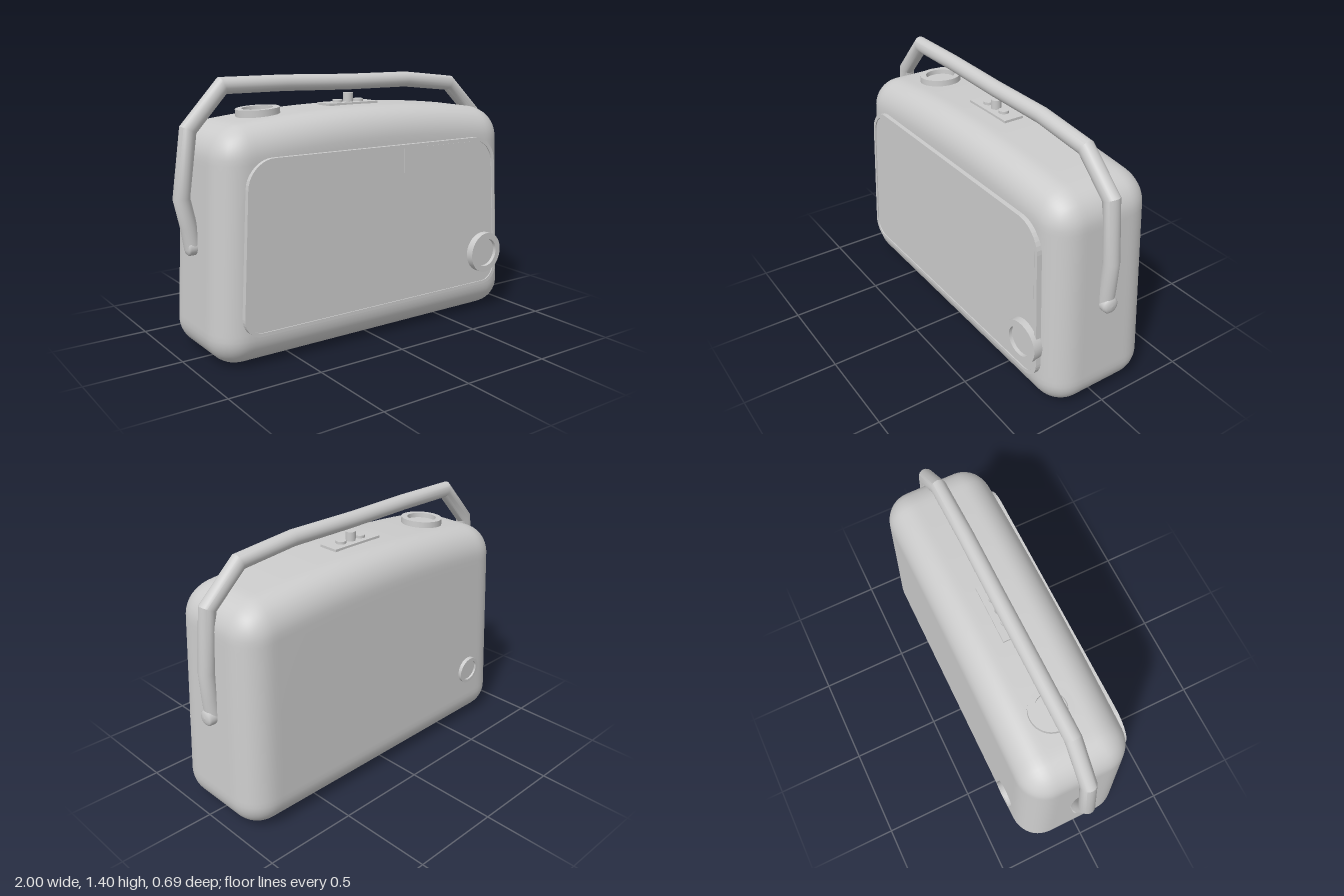
import * as THREE from 'three';
import { mergeVertices, toCreasedNormals } from 'three/addons/utils/BufferGeometryUtils.js';

const material = new THREE.MeshStandardMaterial({ color: 0xcccccc });
const CX = 0.022, CZ = -0.02; // middle of the case

function add(parent, name, geometry, x = 0, y = 0, z = 0) {
  const mesh = new THREE.Mesh(geometry, material);
  mesh.name = name;
  mesh.position.set(x, y, z);
  parent.add(mesh);
  return mesh;
}

// Height of the arched roof at x
function roof(x) {
  return 1.18 + 0.05 * Math.max(0, 1 - ((x - CX) / 0.8) ** 2);
}

// Rounded box that tapers upwards and has an arched top
function caseGeometry() {
  const w = 1.9, h = 1.18, d = 0.616, r = 0.16;
  let g = new THREE.BoxGeometry(w, h, d, 60, 40, 24);
  g.deleteAttribute('uv');
  g.deleteAttribute('normal');
  g = mergeVertices(g);
  const pos = g.attributes.position;
  const p = new THREE.Vector3(), q = new THREE.Vector3();
  const inner = new THREE.Vector3(w / 2 - r, h / 2 - r, d / 2 - r);
  const innerMin = inner.clone().negate();
  for (let i = 0; i < pos.count; i++) {
    p.fromBufferAttribute(pos, i);
    q.copy(p).clamp(innerMin, inner);
    p.sub(q).setLength(r).add(q);
    const y = p.y + h / 2;
    const x = p.x * (1.004 - 0.052 * y);
    const z = p.z * (1.01 - 0.07 * y) + CZ + 0.005 * y;
    const lift = THREE.MathUtils.smoothstep(y, 0.4, h);
    pos.setXYZ(i, x + CX, y + (roof(x + CX) - h) * lift, z);
  }
  g.computeVertexNormals();
  return g;
}

// Polygon with its corners cut back and rounded
function roundedPoly(corners, cuts, Type = THREE.Shape) {
  const shape = new Type();
  const pts = corners.map(([x, y]) => new THREE.Vector2(x, y));
  pts.forEach((p, i) => {
    const n = pts.length;
    const toward = (other) => p.clone().add(other.clone().sub(p).setLength(cuts[i]));
    const a = toward(pts[(i + n - 1) % n]), b = toward(pts[(i + 1) % n]);
    if (i === 0) shape.moveTo(a.x, a.y);
    else shape.lineTo(a.x, a.y);
    if (cuts[i] > 0.01) shape.bezierCurveTo(
      a.x + (p.x - a.x) * 0.55, a.y + (p.y - a.y) * 0.55,
      b.x + (p.x - b.x) * 0.55, b.y + (p.y - b.y) * 0.55, b.x, b.y);
    else shape.lineTo(b.x, b.y);
  });
  shape.closePath();
  return shape;
}

// Front panel outline, inset by d
function panelOutline(d, Type) {
  return roundedPoly(
    [[-0.81 + d, 0.168 + d], [0.85 - d, 0.168 + d], [0.805 - d, 1.03 - d], [-0.757 + d, 1.035 - d]],
    [0.1, 0.1, 0.14, 0.14].map((c) => c - d * 0.6), Type);
}

function extrude(shape, depth) {
  return new THREE.ExtrudeGeometry(shape, { depth, bevelEnabled: false, curveSegments: 10 });
}

// Dial with a raised rim and sunken face, axis along y
function dialGeometry(outer, inner, height, sink) {
  const profile = [[outer, 0], [outer, height], [inner, height], [inner, height - sink], [0, height - sink]];
  return toCreasedNormals(new THREE.LatheGeometry(profile.map(([x, y]) => new THREE.Vector2(x, y)), 40), 0.6);
}

// Round bar swept along a bent path in the xy plane, with mitred bends
function barGeometry(path, radius, sides) {
  const pts = path.map(([x, y]) => new THREE.Vector2(x, y));
  const verts = [], index = [];
  pts.forEach((p, i) => {
    const before = p.clone().sub(pts[Math.max(i - 1, 0)]).normalize();
    const after = pts[Math.min(i + 1, pts.length - 1)].clone().sub(p).normalize();
    const along = before.clone().add(after).normalize();
    const mitre = 1 / (along.dot(i === 0 ? after : before));
    for (let k = 0; k < sides; k++) {
      const a = (k / sides) * Math.PI * 2;
      const s = Math.cos(a) * radius * mitre;
      verts.push(p.x - along.y * s, p.y + along.x * s, Math.sin(a) * radius);
      if (i > 0) {
        const k2 = (k + 1) % sides, A = (i - 1) * sides, B = i * sides;
        index.push(A + k, A + k2, B + k, A + k2, B + k2, B + k);
      }
    }
  });
  // Close both ends
  const last = (pts.length - 1) * sides;
  for (let k = 1; k < sides - 1; k++) {
    index.push(0, k + 1, k, last, last + k, last + k + 1);
  }
  const g = new THREE.BufferGeometry();
  g.setAttribute('position', new THREE.Float32BufferAttribute(verts, 3));
  g.setIndex(index);
  return toCreasedNormals(g, 0.5);
}

export function createModel() {
  const model = new THREE.Group();
  model.name = 'portableRadio';

  add(model, 'case', caseGeometry());

  // Front panel, leaning back with the case
  const front = new THREE.Group();
  front.name = 'frontPanel';
  front.position.z = 0.313;
  front.rotation.x = -0.014;
  model.add(front);
  const rim = panelOutline(0);
  rim.holes.push(panelOutline(0.018, THREE.Path));
  add(front, 'panelRim', extrude(rim, 0.05), 0, 0, -0.05);
  add(front, 'grille', extrude(panelOutline(0.017), 0.03), 0, 0, -0.036);
  const screen = roundedPoly(
    [[0.165, 0.65], [0.797, 0.637], [0.78, 1.008], [0.165, 1.014]], [0.002, 0.002, 0.125, 0.002]);
  add(front, 'displayPlate', extrude(screen, 0.012), 0, 0, -0.0165);

  // Dials on front, roof and back
  const tuning = add(model, 'tuningDial', dialGeometry(0.115, 0.08, 0.05, 0.02), 0.74, 0.362, 0.287);
  tuning.rotation.set(Math.PI / 2, 0, -0.05);
  const top = add(model, 'topDial', dialGeometry(0.113, 0.08, 0.05, 0.025), -0.528, 1.19, -0.024);
  top.rotation.z = 0.06;
  const back = add(model, 'backDial', dialGeometry(0.078, 0.06, 0.04, 0.012), -0.65, 0.342, -0.3);
  back.rotation.x = -Math.PI / 2 - 0.03;

  // Button strip on the roof
  add(model, 'buttonPlate', new THREE.BoxGeometry(0.315, 0.03, 0.113), CX, 1.226, -0.023);
  for (const [x, height] of [[-0.068, 0.03], [0, 0.065], [0.068, 0.03]]) {
    add(model, 'button', new THREE.CylinderGeometry(0.027, 0.027, height, 24), CX + x, 1.225 + height / 2, -0.023);
  }

  // Carrying handle
  const path = [[-0.912, 0.57], [-0.928, 0.68], [-0.96, 0.825], [-0.912, 1.155], [-0.725, 1.357], [-0.38, 1.357],
    [0.02, 1.347], [0.41, 1.346], [0.735, 1.312], [0.925, 1.135], [0.957, 0.82], [0.95, 0.68], [0.94, 0.57]];
  add(model, 'handle', barGeometry(path, 0.042, 20), 0, 0, CZ);

  // Domed pivots at the handle ends
  const dome = [[0.043, 0], [0.043, 0.035], [0.036, 0.043], [0.02, 0.048], [0, 0.05]];
  const pivotGeometry = new THREE.LatheGeometry(dome.map(([x, y]) => new THREE.Vector2(x, y)), 28);
  for (const side of [-1, 1]) {
    const pivot = add(model, 'handlePivot', pivotGeometry, CX + side * 0.922, 0.578, CZ);
    pivot.rotation.z = -side * Math.PI / 2;
  }

  return model;
}
